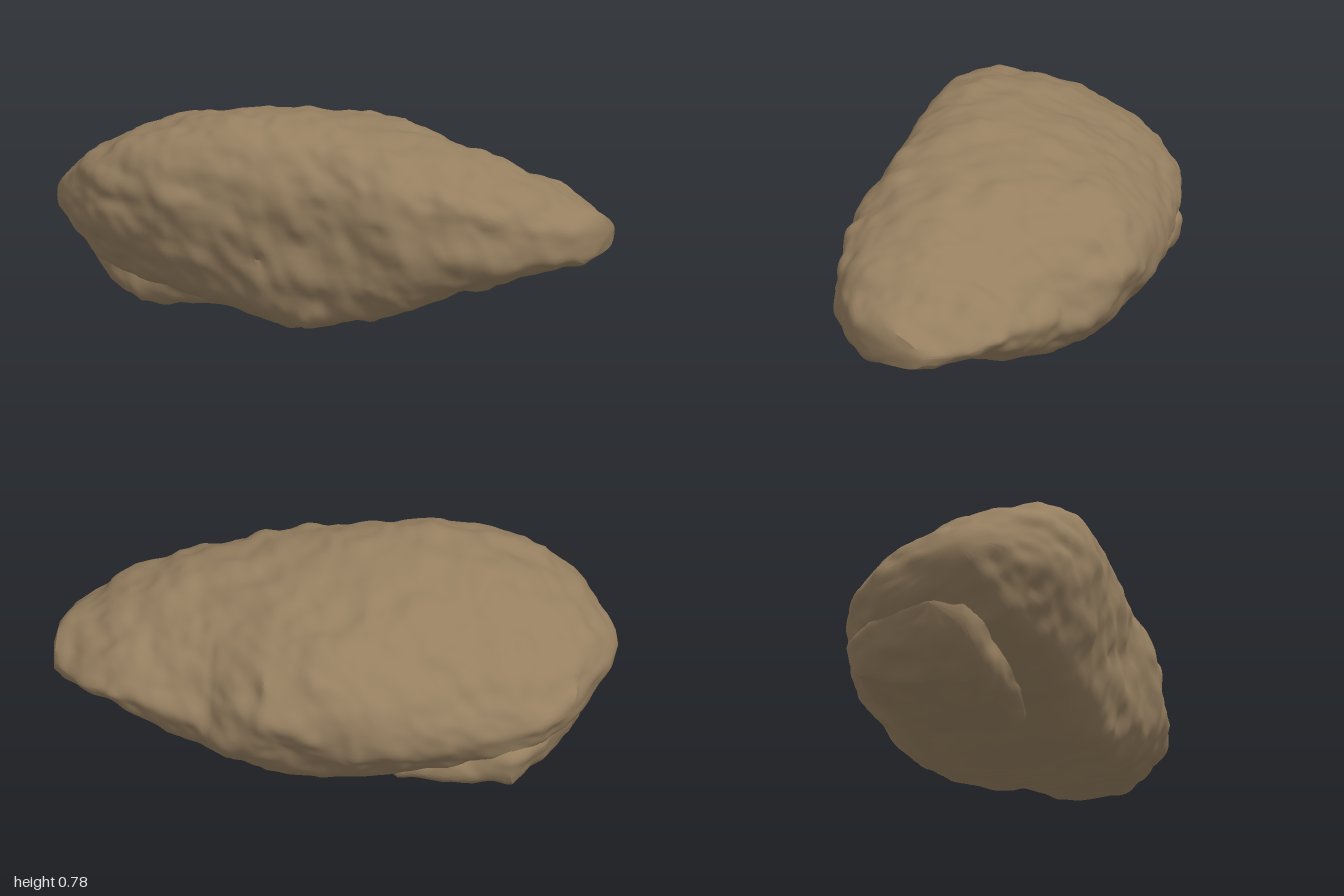
import * as THREE from 'three';
import { mergeVertices, toCreasedNormals } from 'three/addons/utils/BufferGeometryUtils.js';

// Seeded lattice hash and smooth value noise in -1..1
function hash(x, y, z) {
  let h = (Math.imul(x, 374761393) + Math.imul(y, 668265263) + Math.imul(z, 1274126177)) | 0;
  h = Math.imul(h ^ (h >>> 13), 1274126177);
  return (((h ^ (h >>> 16)) >>> 0) / 4294967295) * 2 - 1;
}
function noise(x, y, z) {
  const ix = Math.floor(x), iy = Math.floor(y), iz = Math.floor(z);
  const s = (t) => t * t * (3 - 2 * t);
  const fx = s(x - ix), fy = s(y - iy), fz = s(z - iz);
  let sum = 0;
  for (let c = 0; c < 8; c++) {
    const a = c & 1, b = (c >> 1) & 1, d = c >> 2;
    sum += hash(ix + a, iy + b, iz + d) * (a ? fx : 1 - fx) * (b ? fy : 1 - fy) * (d ? fz : 1 - fz);
  }
  return sum;
}

// Rough stone relief: broad dents, small chips and faint strata, fading at the two tips
function relief(p, n) {
  const broad = 0.01 * noise(p.x * 6 + 9, p.y * 7, p.z * 6);
  const chips = 0.013 * noise(p.x * 13, p.y * 14 + 5, p.z * 13) + 0.005 * noise(p.x * 27, p.y * 27, p.z * 27);
  const layer = p.y + 0.1 * p.x - 0.08 * p.z + 0.03 * noise(p.x * 4, 3, p.z * 4);
  const side = 1 - Math.min(1, Math.abs(n.y) * 1.3);
  const strata = 0.012 * side * noise(p.x * 4, layer * 14, p.z * 4);
  return (broad + chips + strata) * THREE.MathUtils.smoothstep(1 - Math.abs(p.x), 0, 0.06);
}

// Lofts closed profiles along x; stations are [x, zMin, zMax, yMin, yMax, profile number],
// where a fractional profile number blends two neighbours
function loftRock(profiles, stations, sides, step) {
  const rings = profiles.map((profile) => {
    const curve = new THREE.CatmullRomCurve3(profile.map(([u, v]) => new THREE.Vector3(0, v, u)), true);
    return Array.from({ length: sides }, (_, j) => curve.getPoint(j / sides));
  });
  const rows = [];
  stations.forEach((s, i) => {
    if (i === 0) return rows.push(s);
    const prev = stations[i - 1];
    const count = Math.max(2, Math.ceil((s[0] - prev[0]) / step));
    for (let k = 1; k <= count; k++) rows.push(s.map((v, m) => prev[m] + (v - prev[m]) * (k / count)));
  });
  const pos = [], index = [], q = new THREE.Vector3();
  rows.forEach(([x, z0, z1, y0, y1, blend], i) => {
    const low = Math.floor(blend), high = Math.ceil(blend);
    for (let j = 0; j < sides; j++) {
      q.lerpVectors(rings[low][j], rings[high][j], blend - low);
      pos.push(x, y0 + q.y * (y1 - y0), z0 + q.z * (z1 - z0));
      if (i === rows.length - 1) continue;
      const a = i * sides + j, d = i * sides + ((j + 1) % sides);
      index.push(a, a + sides, d, d, a + sides, d + sides);
    }
  });
  let geo = new THREE.BufferGeometry();
  geo.setAttribute('position', new THREE.Float32BufferAttribute(pos, 3));
  geo.setIndex(index);
  geo = mergeVertices(geo, 1e-4);
  geo.computeVertexNormals();
  const P = geo.attributes.position, N = geo.attributes.normal;
  const p = new THREE.Vector3(), n = new THREE.Vector3();
  for (let i = 0; i < P.count; i++) {
    p.fromBufferAttribute(P, i);
    n.fromBufferAttribute(N, i);
    p.addScaledVector(n, relief(p, n));
    P.setXYZ(i, p.x, Math.max(0, p.y), p.z);
  }
  geo.deleteAttribute('normal');
  return toCreasedNormals(geo, 0.7);
}

export function createModel() {
  const group = new THREE.Group();
  group.name = 'rock';
  const stone = new THREE.MeshStandardMaterial({ color: 0x967f60 });
  stone.name = 'brown stone';

  // Boulder outlines, from the front face over the top to the back and under
  const rightEnd = [
    [1, 0.56], [0.985, 0.78], [0.93, 0.92], [0.79, 1], [0.58, 0.97], [0.38, 0.88], [0.18, 0.73], [0.04, 0.53],
    [0, 0.38], [0.05, 0.21], [0.17, 0.1], [0.45, 0], [0.81, 0.09], [0.93, 0.29],
  ];
  const middle = [
    [1, 0.56], [0.985, 0.78], [0.92, 0.93], [0.79, 1], [0.56, 0.975], [0.34, 0.905], [0.17, 0.83], [0.05, 0.7],
    [0, 0.49], [0.06, 0.31], [0.17, 0.15], [0.45, 0.01], [0.91, 0.05], [0.97, 0.25],
  ];
  const leftEnd = [
    [1, 0.58], [0.98, 0.78], [0.92, 0.88], [0.78, 0.96], [0.56, 1], [0.38, 0.9], [0.2, 0.73], [0.06, 0.54],
    [0, 0.36], [0.05, 0.15], [0.2, 0.03], [0.5, 0], [0.83, 0.03], [0.97, 0.16],
  ];
  const bodyStations = [
    [-1, 0.2, 0.2, 0.41, 0.41, 0],
    [-0.985, 0.09, 0.26, 0.35, 0.45, 0],
    [-0.95, 0.0, 0.31, 0.31, 0.5, 0],
    [-0.9, -0.17, 0.37, 0.26, 0.54, 0],
    [-0.8, -0.28, 0.46, 0.17, 0.615, 0],
    [-0.7, -0.34, 0.5, 0.13, 0.68, 0],
    [-0.5, -0.41, 0.535, 0.08, 0.745, 0.1],
    [-0.3, -0.47, 0.51, 0.05, 0.77, 0.4],
    [-0.15, -0.51, 0.48, 0.01, 0.78, 0.7],
    [0, -0.53, 0.46, 0.01, 0.765, 1],
    [0.18, -0.54, 0.44, 0.05, 0.74, 1.2],
    [0.33, -0.47, 0.44, 0.09, 0.71, 1.7],
    [0.39, -0.42, 0.43, 0.12, 0.695, 1.9],
    [0.6, -0.375, 0.38, 0.2, 0.64, 2],
    [0.75, -0.34, 0.32, 0.26, 0.58, 2],
    [0.87, -0.27, 0.23, 0.28, 0.51, 2],
    [0.95, -0.2, 0.15, 0.3, 0.47, 2],
    [0.985, -0.15, 0.06, 0.31, 0.44, 2],
    [1, -0.04, -0.04, 0.38, 0.38, 2],
  ];
  const body = new THREE.Mesh(loftRock([rightEnd, middle, leftEnd], bodyStations, 112, 0.018), stone);
  body.name = 'boulder';

  // Broken layer under the right-hand end, lowest along its front edge
  const slabProfile = [
    [1, 0.55], [0.94, 0.88], [0.7, 1], [0.3, 1], [0.05, 0.9], [0, 0.65],
    [0.03, 0.45], [0.12, 0.32], [0.5, 0.12], [0.85, 0], [0.97, 0.15],
  ];
  const slabStations = [
    [-0.89, 0.05, 0.05, 0.25, 0.25, 0],
    [-0.865, -0.06, 0.17, 0.17, 0.29, 0],
    [-0.8, -0.22, 0.22, 0.09, 0.3, 0],
    [-0.69, -0.33, 0.23, 0.005, 0.3, 0],
    [-0.55, -0.33, 0.23, 0.01, 0.26, 0],
    [-0.4, -0.32, 0.21, 0.02, 0.21, 0],
    [-0.28, -0.3, 0.19, 0.02, 0.17, 0],
    [-0.16, -0.16, 0.13, 0.03, 0.13, 0],
    [-0.1, 0, 0, 0.08, 0.08, 0],
  ];
  const slab = new THREE.Mesh(loftRock([slabProfile], slabStations, 80, 0.02), stone);
  slab.name = 'lowerSlab';

  group.add(body, slab);
  return group;
}
